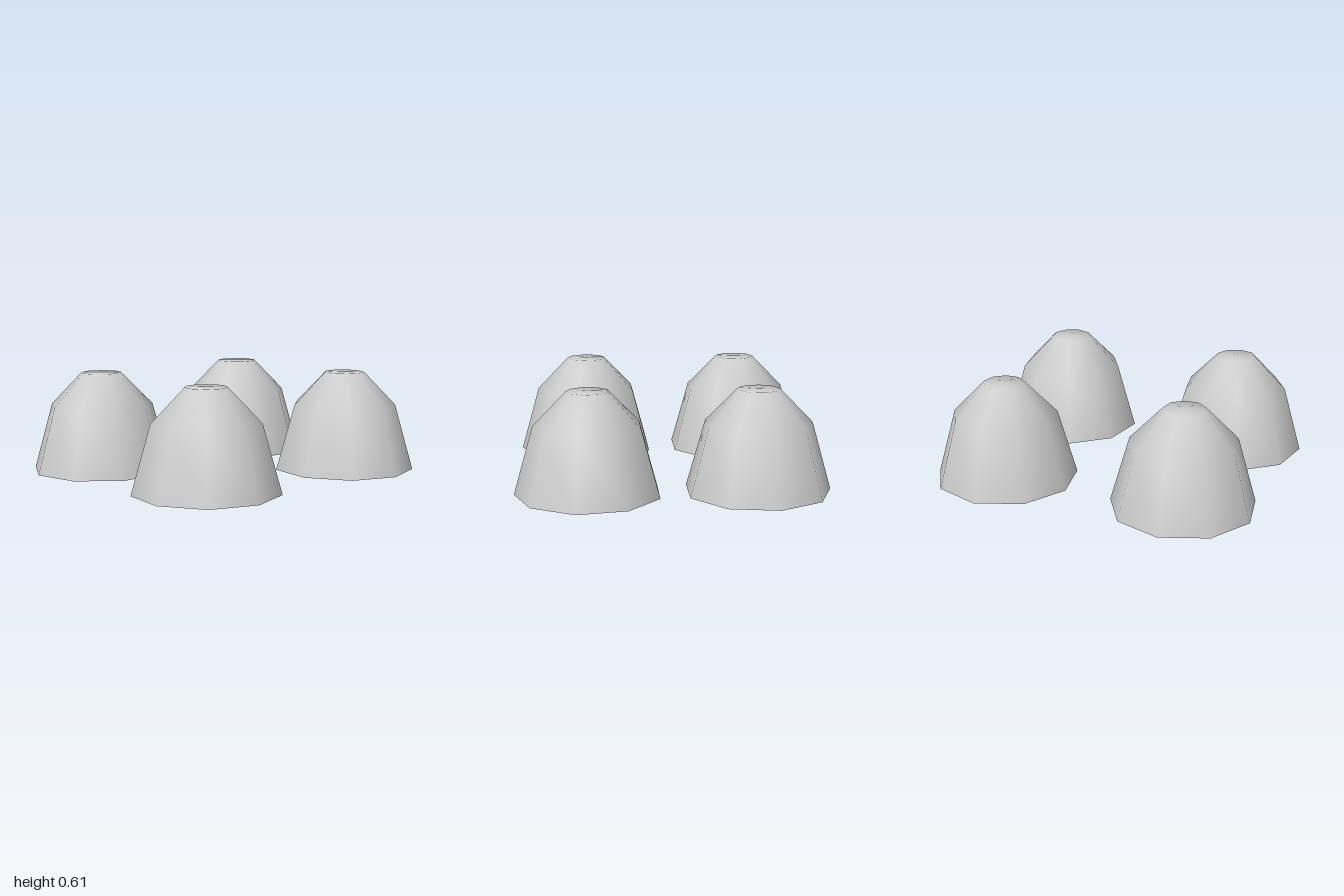
import * as THREE from 'three';

export function createModel() {
  const model = new THREE.Group();
  model.name = 'fourDomes';
  const material = new THREE.MeshStandardMaterial({ color: 0xcccccc, side: THREE.DoubleSide });

  // Nine-sided hollow dome, open underneath, with a small flat crown
  const profile = [[0.434, 0], [0.319, 0.405], [0.124, 0.606], [0, 0.606]]
    .map(([r, y]) => new THREE.Vector2(r, y));
  const geometry = new THREE.LatheGeometry(profile, 9);

  // One dome per corner; a corner of each base points away from the middle
  for (const [front, zName] of [[1, 'front'], [-1, 'back']]) {
    for (const [left, xName] of [[1, 'Left'], [-1, 'Right']]) {
      const dome = new THREE.Mesh(geometry, material);
      dome.name = zName + xName + 'Dome';
      dome.position.set(left * 0.573, 0, front * 0.494);
      dome.rotation.y = front > 0 ? 0 : Math.PI;
      model.add(dome);
    }
  }
  return model;
}
